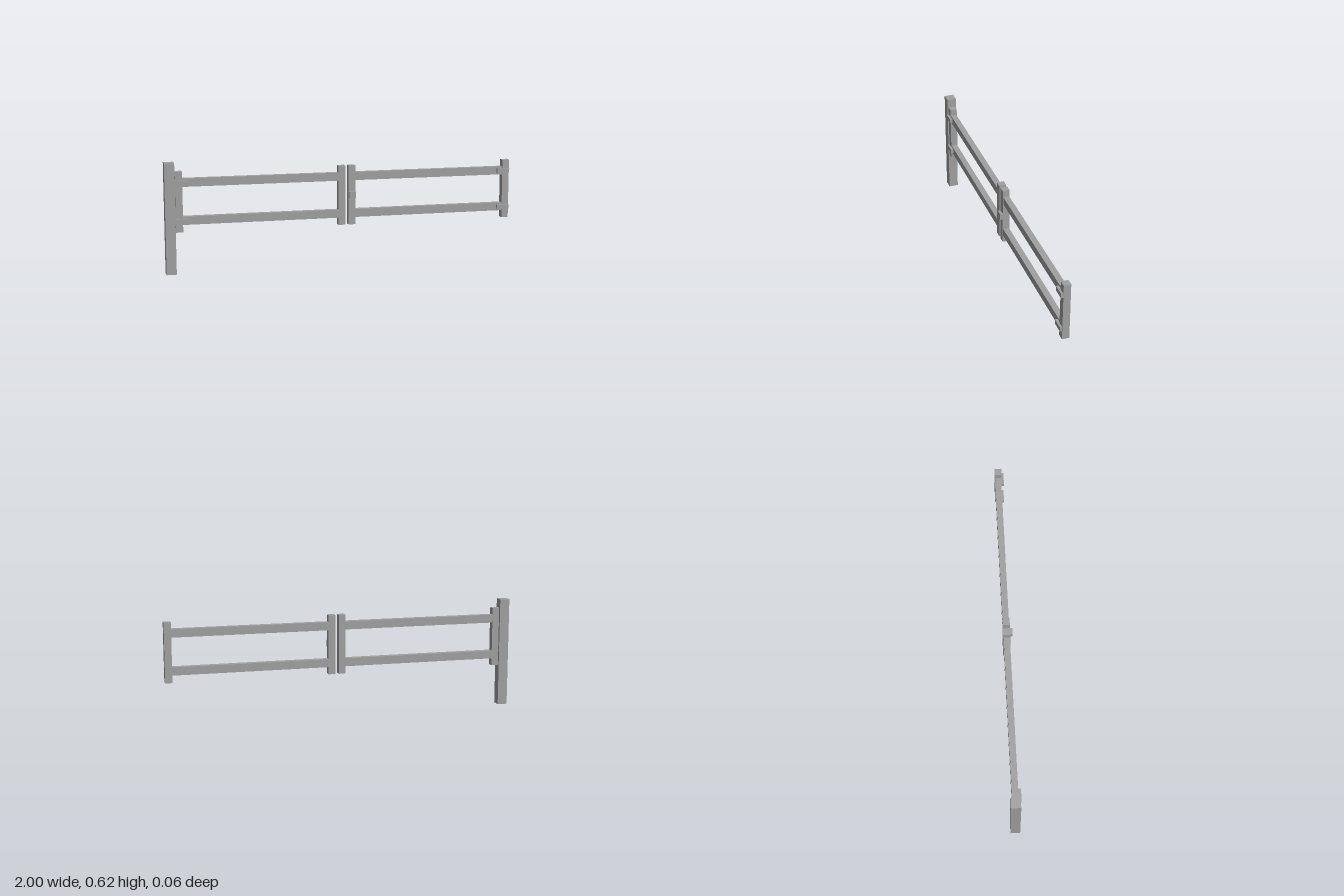
import * as THREE from 'three';

export function createModel() {
  const gate = new THREE.Group();
  gate.name = 'doubleGate';
  const grey = new THREE.MeshStandardMaterial({ color: 0xa0a0a0 });
  grey.name = 'plain grey';

  // Box given by its lower and upper limit on each axis
  const box = (parent, name, [x0, x1], [y0, y1], [z0, z1]) => {
    const mesh = new THREE.Mesh(new THREE.BoxGeometry(x1 - x0, y1 - y0, z1 - z0), grey);
    mesh.position.set((x0 + x1) / 2, (y0 + y1) / 2, (z0 + z1) / 2);
    mesh.name = name;
    parent.add(mesh);
  };

  const rails = [0.299, 0.511]; // rail centre heights
  const stileW = 0.04;

  // Hanging post with small hinge blocks on its inner side
  box(gate, 'post', [-1, -0.944], [0, 0.623], [-0.032, 0.023]);
  for (const y of rails) {
    box(gate, 'hingeBlock', [-0.946, -0.934], [y - 0.024, y + 0.024], [-0.02, 0.02]);
  }

  // Two leaves: stiles at both ends, two rails, hinge straps at the outer end
  const leaves = [
    { name: 'rightLeaf', x0: -0.942, x1: 0.018, strap: [-0.942, -0.872] },
    { name: 'leftLeaf', x0: 0.037, x1: 1, strap: [0.926, 0.998] },
  ];
  for (const { name, x0, x1, strap } of leaves) {
    const leaf = new THREE.Group();
    leaf.name = name;
    gate.add(leaf);
    for (const x of [x0, x1 - stileW]) {
      box(leaf, 'stile', [x, x + stileW], [0.235, 0.573], [-0.023, 0.017]);
    }
    for (const y of rails) {
      box(leaf, 'rail', [x0 + stileW, x1 - stileW], [y - 0.023, y + 0.023], [-0.02, 0.014]);
      box(leaf, 'hingeStrap', strap, [y - 0.013, y + 0.013], [0.013, 0.029]);
    }
  }

  // Latch on the meeting stile
  box(gate, 'latch', [0.038, 0.076], [0.386, 0.424], [0.016, 0.033]);
  return gate;
}
